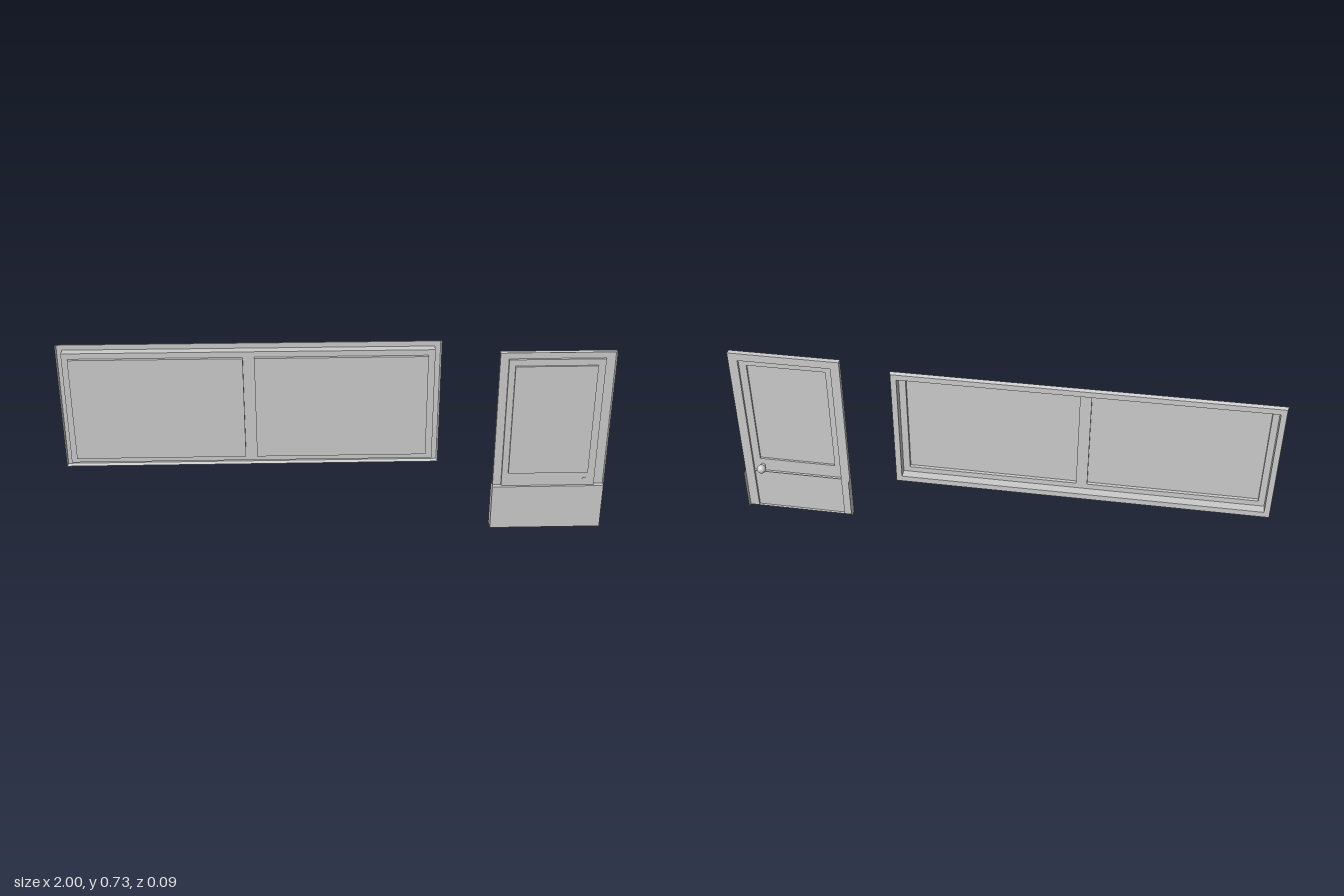
import * as THREE from 'three';

const material = new THREE.MeshStandardMaterial({ color: 0xcccccc, side: THREE.DoubleSide, flatShading: true });

function addMesh(parent, name, geometry) {
  const mesh = new THREE.Mesh(geometry, material);
  mesh.name = name;
  parent.add(mesh);
  return mesh;
}

// Pressed sheet: nested rectangles [x0, x1, y0, y1, z] joined by strips, last one optionally capped
function pressedSheet(rects, capped = true) {
  const loops = rects.map(([x0, x1, y0, y1, z]) =>
    [[x0, y0], [x1, y0], [x1, y1], [x0, y1]].map(([x, y]) => new THREE.Vector3(x, y, z)));
  const points = [];
  const triangle = (a, b, c) => {
    const area = b.clone().sub(a).cross(c.clone().sub(a)).length();
    if (area > 1e-9) points.push(a, b, c);
  };
  const quad = (a, b, c, d) => { triangle(a, b, c); triangle(a, c, d); };
  for (let k = 0; k + 1 < loops.length; k++) {
    for (let i = 0; i < 4; i++) {
      const j = (i + 1) % 4;
      quad(loops[k][i], loops[k][j], loops[k + 1][j], loops[k + 1][i]);
    }
  }
  if (capped) quad(...loops[loops.length - 1]);
  const geometry = new THREE.BufferGeometry().setFromPoints(points);
  geometry.computeVertexNormals();
  return geometry;
}

function rectPath(path, x0, x1, y0, y1) {
  path.moveTo(x0, y0);
  path.lineTo(x1, y0);
  path.lineTo(x1, y1);
  path.lineTo(x0, y1);
  path.closePath();
  return path;
}

function createWindow() {
  const group = new THREE.Group();
  group.name = 'window';
  const faceZ = -0.008;
  const inner = [-0.976, 0.357, 0.276, 0.709];

  // Slanted lip, flat rim and the wall rising to the face
  addMesh(group, 'windowFrame', pressedSheet([
    [-1, 0.382, 0.249, 0.734, -0.0286],
    [-0.996, 0.378, 0.254, 0.73, -0.043],
    [...inner, -0.043],
    [...inner, faceZ],
  ], false));

  // Face with two openings, each filled by a raised pane
  const face = rectPath(new THREE.Shape(), ...inner);
  [['rightPane', -0.953, -0.332], ['leftPane', -0.291, 0.332]].forEach(([name, x0, x1]) => {
    const pane = [x0, x1, 0.297, 0.688];
    face.holes.push(rectPath(new THREE.Path(), ...pane));
    addMesh(group, name, pressedSheet([[...pane, faceZ], [...pane, 0.005]]));
  });
  addMesh(group, 'windowFace', new THREE.ShapeGeometry(face)).position.z = faceZ;
  return group;
}

function createDoor() {
  const group = new THREE.Group();
  group.name = 'door';
  const x0 = 0.583, x1 = 1, front = 0.045, back = 0.025, panelZ = 0.035;
  const kickTop = 0.175;
  const outer = [x0, x1, 0, 0.714];
  const panel = [0.617, 0.965, 0, 0.684];
  const light = [0.64, 0.937, 0.23, 0.66];

  // Lip, rim, raised panel and raised upper light
  addMesh(group, 'doorPanel', pressedSheet([
    [...outer, front], [...outer, back],
    [...panel, back], [...panel, panelZ],
    [...light, panelZ], [...light, 0.043],
  ]));

  // Kick plate with its top ledge and side flanges
  const width = x1 - x0, middle = (x0 + x1) / 2;
  addMesh(group, 'kickPlate', new THREE.PlaneGeometry(width, kickTop))
    .position.set(middle, kickTop / 2, front);
  const ledge = addMesh(group, 'kickPlateLedge', new THREE.PlaneGeometry(width, front - back));
  ledge.rotation.x = -Math.PI / 2;
  ledge.position.set(middle, kickTop, (front + back) / 2);
  for (const x of [x0, x1]) {
    const flange = addMesh(group, 'kickPlateFlange', new THREE.PlaneGeometry(0.042, kickTop));
    flange.rotation.y = x === x1 ? Math.PI / 2 : -Math.PI / 2;
    flange.position.set(x, kickTop / 2, 0.024);
  }

  // Round knob on the back, its stem just showing through the front
  const knobMaterial = new THREE.MeshStandardMaterial({ color: 0xcccccc });
  const knob = addMesh(group, 'knob', new THREE.SphereGeometry(0.0175, 24, 16));
  knob.material = knobMaterial;
  knob.position.set(0.928, 0.198, 0.01);
  const stem = addMesh(group, 'knobStem', new THREE.CylinderGeometry(0.009, 0.009, 0.02, 16));
  stem.material = knobMaterial;
  stem.rotation.x = Math.PI / 2;
  stem.position.set(0.928, 0.198, 0.027);
  return group;
}

export function createModel() {
  const model = new THREE.Group();
  model.name = 'doorAndWindow';
  model.add(createWindow(), createDoor());
  return model;
}
